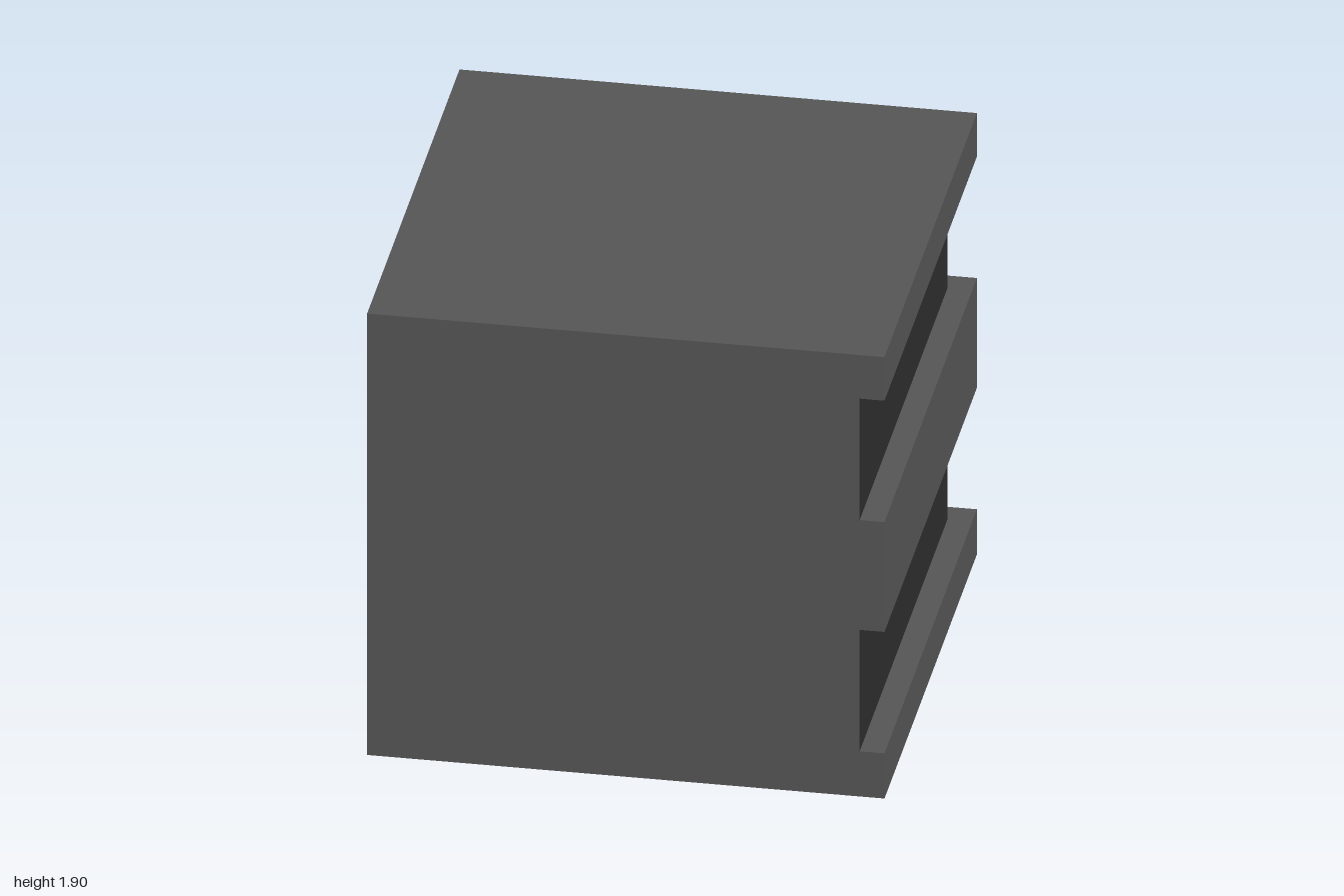
import * as THREE from 'three';

export function createModel() {
  const model = new THREE.Group();
  const grey = new THREE.MeshStandardMaterial({ color: 0x555555 });
  grey.name = 'grey';
  const darkGrey = new THREE.MeshStandardMaterial({ color: 0x2d2d2d });
  darkGrey.name = 'dark grey';

  // Projecting bands run the full width and depth
  const bands = [['bottomBand', 0, 0.195], ['middleBand', 0.719, 1.193], ['topBand', 1.717, 1.905]];
  for (const [name, y0, y1] of bands) {
    const band = new THREE.Mesh(new THREE.BoxGeometry(2, y1 - y0, 2), grey);
    band.name = name;
    band.position.y = (y0 + y1) / 2;
    model.add(band);
  }

  // Recessed courses: set back on the +x and back sides, where the walls are dark
  const inset = 0.096;
  const recesses = [['lowerRecess', 0.195, 0.719], ['upperRecess', 1.193, 1.717]];
  for (const [name, y0, y1] of recesses) {
    const geometry = new THREE.BoxGeometry(2 - inset, y1 - y0, 2 - inset);
    // The top and bottom lie against the bands, so they are left out
    geometry.groups = geometry.groups.filter(g => g.materialIndex !== 2 && g.materialIndex !== 3);
    const recess = new THREE.Mesh(geometry, [darkGrey, grey, grey, grey, grey, darkGrey]);
    recess.name = name;
    recess.position.set(-inset / 2, (y0 + y1) / 2, inset / 2);
    model.add(recess);
  }
  return model;
}
